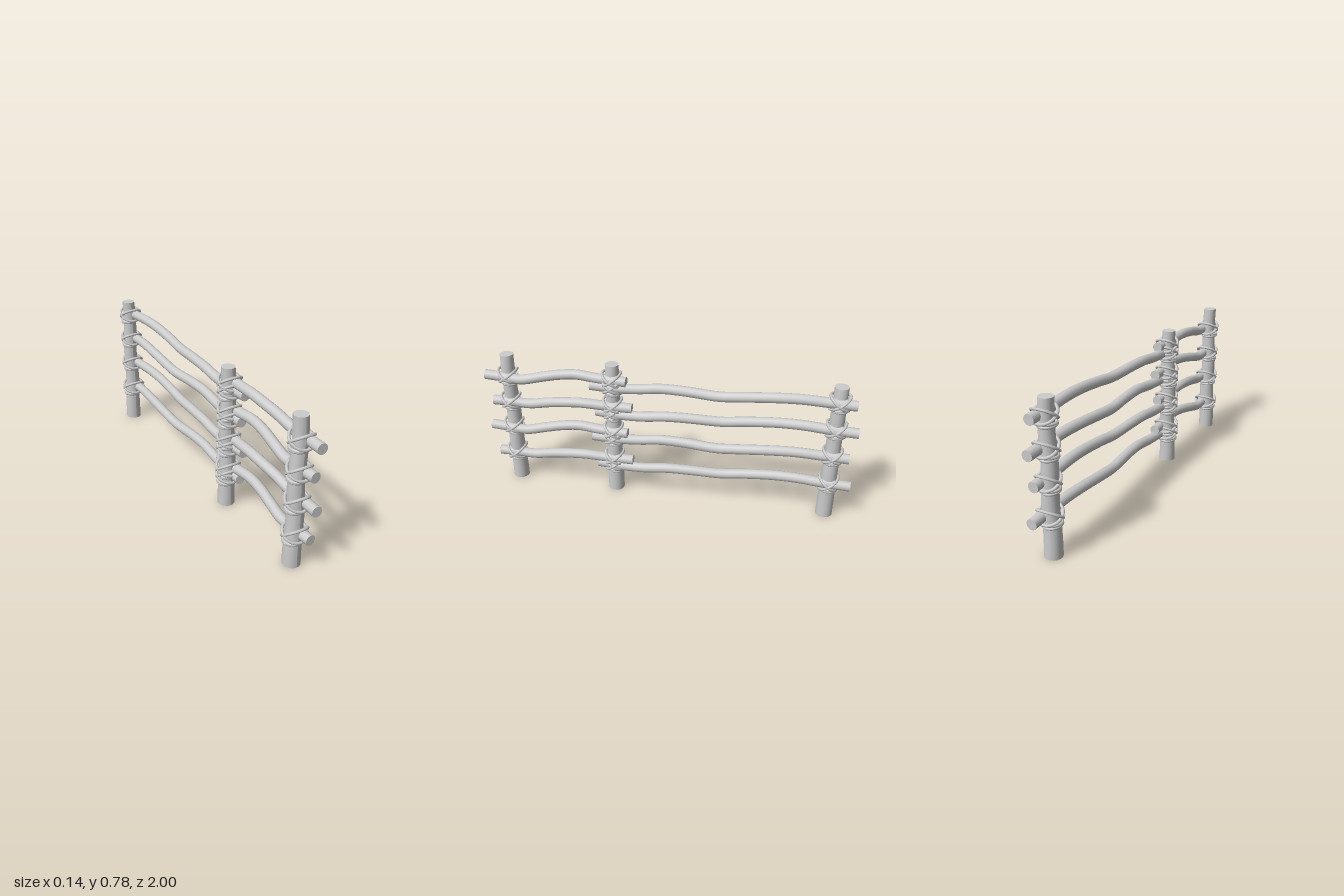
import * as THREE from 'three';

const mat = new THREE.MeshStandardMaterial({ color: 0xcccccc, side: THREE.DoubleSide });
const POSTS = [0.88, 0.295, -0.88];
const LEVELS = [0.175, 0.345, 0.505, 0.66]; // rail height at the front end
const RISE = 0.04; // climb of each rail towards the back

function add(group, name, geometry) {
  const mesh = new THREE.Mesh(geometry, mat);
  mesh.name = name;
  group.add(mesh);
  return mesh;
}

// Tapered, slightly crooked post, capped on top and open below
function makePost(z) {
  const group = new THREE.Group();
  group.name = 'post';
  const r0 = 0.045, r1 = 0.036, h = 0.78;
  const sway = (y) => -0.009 + 0.004 * Math.sin(y * 16 - 2.5) * Math.min(1, y * 4);
  const side = new THREE.CylinderGeometry(r1, r0, h, 20, 12, true).translate(0, h / 2, 0);
  const p = side.attributes.position;
  for (let i = 0; i < p.count; i++) p.setX(i, p.getX(i) + sway(p.getY(i)));
  side.computeVertexNormals();
  add(group, 'postShaft', side);
  const cap = add(group, 'postTop', new THREE.CircleGeometry(r1, 20).rotateX(-Math.PI / 2));
  cap.position.set(sway(h), h, 0);
  group.position.z = z;
  return group;
}

// Crooked rail from z0 to z1; profile gives [fraction, rise above start]
function makeRail(z0, z1, y, profile, level) {
  const group = new THREE.Group();
  group.name = 'rail';
  const points = profile.map(([t, dy]) => {
    const bow = Math.sin(Math.PI * t) * (level % 2 ? 1 : -1);
    const x = 0.019 + 0.014 * bow * Math.sin(2 * Math.PI * t + 0.5);
    return new THREE.Vector3(x, y + dy, z0 + (z1 - z0) * t);
  });
  const curve = new THREE.CatmullRomCurve3(points);
  const r = 0.027;
  add(group, 'railShaft', new THREE.TubeGeometry(curve, 40, r, 14));
  for (const t of [0, 1]) {
    const cap = add(group, 'railEnd', new THREE.CircleGeometry(r, 14));
    cap.position.copy(curve.getPoint(t));
    const dir = curve.getTangent(t).multiplyScalar(t ? 1 : -1);
    cap.lookAt(cap.position.clone().add(dir));
  }
  return group;
}

// Closed rope loop, lying flat and then tilted about the x axis
function ropeLoop(rx, rz, tilt, rope) {
  const points = [];
  for (let i = 0; i < 12; i++) {
    const a = (i / 12) * Math.PI * 2;
    points.push(new THREE.Vector3(rx * Math.cos(a), 0, rz * Math.sin(a)));
  }
  const curve = new THREE.CatmullRomCurve3(points, true);
  return new THREE.TubeGeometry(curve, 24, rope, 7, true).rotateX(tilt);
}

// Crossed loops around post and rail, plus two turns around the post below
function makeLashing(y, z, level) {
  const group = new THREE.Group();
  group.name = 'lashing';
  const grow = level === 0 ? 1.06 : 1;
  for (const s of [-1, 1])
    add(group, 'crossLoop', ropeLoop(0.06 * grow, 0.06, s * 0.62, 0.0075));
  for (const s of [-1, 1]) {
    const turn = add(group, 'postLoop', ropeLoop(0.042 * grow, 0.043 * grow, s * 0.07, 0.0075));
    turn.position.set(-0.011, -0.042 + s * 0.004, 0);
  }
  group.position.set(0, y, z);
  return group;
}

export function createModel() {
  const fence = new THREE.Group();
  fence.name = 'fence';

  for (const z of POSTS) fence.add(makePost(z));

  const shortProfile = [[0, 0], [0.13, -0.002], [0.26, -0.006], [0.4, 0.018], [0.52, 0.036],
    [0.65, 0.047], [0.8, 0.041], [1, 0.038]];
  const longProfile = [[0, 0], [0.1, -0.006], [0.19, 0], [0.28, 0.016], [0.38, 0.018],
    [0.5, 0.014], [0.58, 0.026], [0.7, 0.042], [0.8, 0.047], [0.9, 0.041], [1, 0.037]];

  LEVELS.forEach((y, level) => {
    // Alternate rails are shifted lengthwise
    const shift = level % 2 ? 0 : 0.027;
    fence.add(makeRail(1 - shift, 0.212 - shift, y, shortProfile, level));
    fence.add(makeRail(0.41 - shift, -0.967 - shift, y, longProfile, level + 1));

    fence.add(makeLashing(y, POSTS[0], level));
    fence.add(makeLashing(y, POSTS[1], level));
    fence.add(makeLashing(y + RISE, POSTS[1], level));
    fence.add(makeLashing(y + RISE, POSTS[2], level));
  });
  return fence;
}
